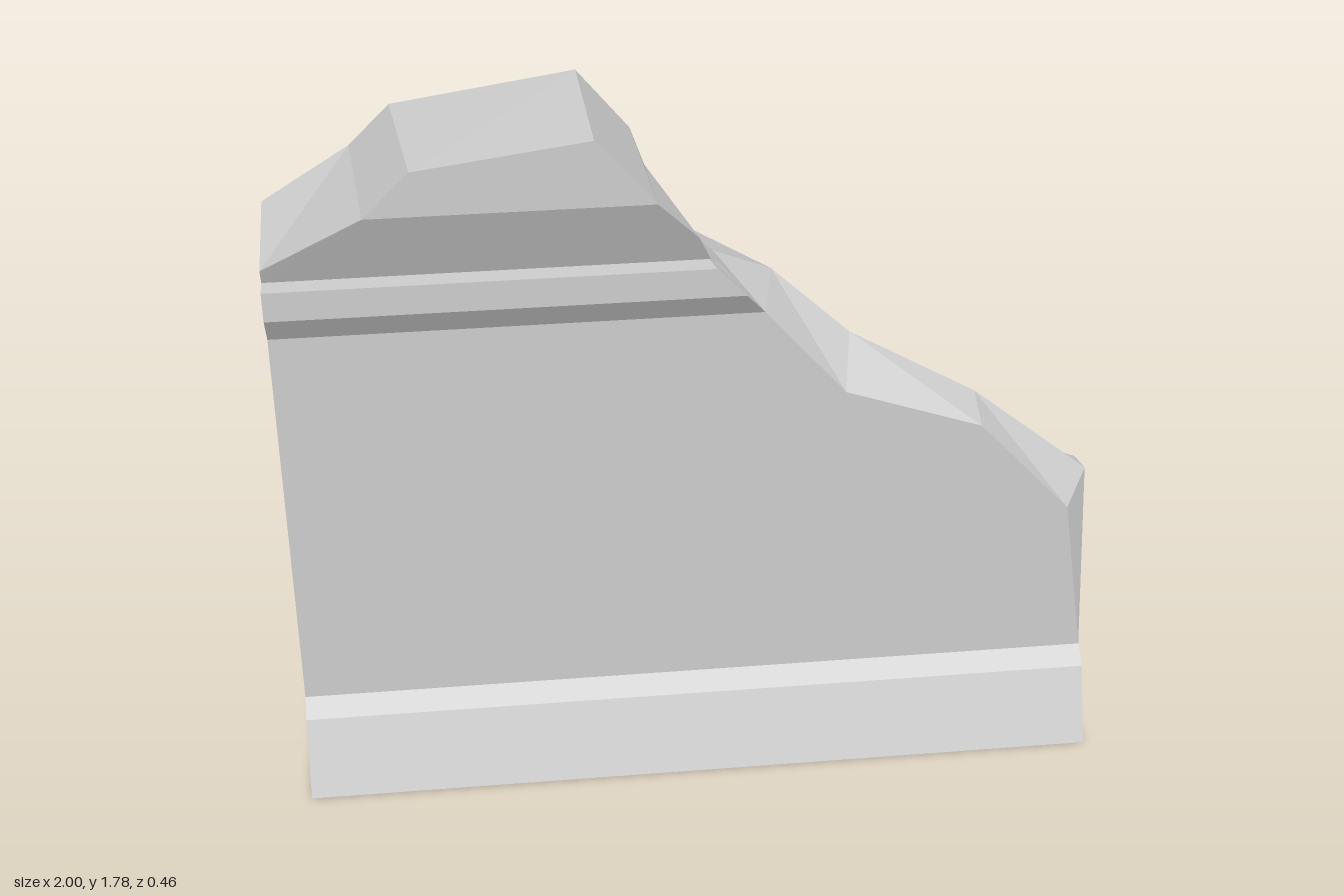
import * as THREE from 'three';

const stone = new THREE.MeshStandardMaterial({ color: 0xcccccc, side: THREE.DoubleSide });
stone.name = 'stone';

const v = (x, y, z) => new THREE.Vector3(x, y, z);

// Faceted mesh from a list of triangles; collapsed triangles are dropped
function faceted(name, triangles) {
  const points = triangles
    .filter((t) => new THREE.Triangle(...t).getArea() > 1e-6)
    .flat();
  const geometry = new THREE.BufferGeometry().setFromPoints(points);
  geometry.computeVertexNormals();
  const mesh = new THREE.Mesh(geometry, stone);
  mesh.name = name;
  return mesh;
}

const quad = (a, b, c, d) => [[a, b, c], [a, c, d]];

function fan(ring) {
  return ring.slice(2).map((p, i) => [ring[0], ring[i + 1], p]);
}

// Skin sections that run from -x to +x, each ordered front bottom, over the top, back bottom
function loft(name, sections, closed = true) {
  const triangles = [];
  const n = sections[0].length;
  for (let s = 0; s < sections.length - 1; s++) {
    const p = sections[s], q = sections[s + 1];
    for (let i = 0; i < (closed ? n : n - 1); i++) {
      const j = (i + 1) % n;
      triangles.push(...quad(p[i], q[i], q[j], p[j]));
    }
  }
  triangles.push(...fan(sections[0]), ...fan([...sections[sections.length - 1]].reverse()));
  return faceted(name, triangles);
}

// Section at constant x from front-side (z, y) pairs, mirrored to the back
function mirrored(x, half) {
  return [
    ...half.map(([z, y]) => v(x, y, z)),
    ...[...half].reverse().map(([z, y]) => v(x, y, -z)),
  ];
}

// Flat side of the wall, with the broken edge as part of its outline
function wallSide(name, z, edge) {
  const outline = [v(-1, 0.225, z), v(1, 0.225, z), ...edge, v(-1, 1.42, z)];
  const faces = THREE.ShapeUtils.triangulateShape(outline.map((p) => new THREE.Vector2(p.x, p.y)), []);
  return faceted(name, faces.map((f) => {
    const t = f.map((i) => outline[i]);
    return z < 0 ? t.reverse() : t;
  }));
}

export function createModel() {
  const group = new THREE.Group();
  group.name = 'ruinedWall';

  // Flared base, open underneath
  const baseHalf = [[0.23, 0], [0.15, 0.19], [0.1, 0.225]];
  group.add(loft('base', [mirrored(-1, baseHalf), mirrored(1, baseHalf)], false));

  // Broken edge: front, ridge and back chains, from the low end upward
  const front = [[0.935, 0.66], [0.7, 0.92], [0.36, 1.04], [0.16, 1.275], [0.05, 1.415]]
    .map(([x, y]) => v(x, y, 0.1));
  const ridge = [[1, 0.71, 0], [0.7, 0.96, 0], [0.38, 1.15, 0], [0.19, 1.32, -0.03], [0.04, 1.42, 0.05]]
    .map((p) => v(...p));
  const back = [[1, 0.68], [0.54, 0.86], [0.31, 1.14], [0.13, 1.28], [-0.02, 1.415]]
    .map(([x, y]) => v(x, y, -0.1));

  group.add(wallSide('wallFront', 0.1, front), wallSide('wallBack', -0.1, back));

  const rim = [];
  for (let i = 0; i < ridge.length - 1; i++) {
    rim.push(...quad(front[i], ridge[i], ridge[i + 1], front[i + 1]));
    rim.push(...quad(ridge[i], back[i], back[i + 1], ridge[i + 1]));
  }
  group.add(faceted('brokenEdge', rim));

  // Wall ends: chipped low end and plain high end
  const lowFront = v(1, 0.225, 0.1), lowBack = v(1, 0.225, -0.1);
  group.add(faceted('chippedEnd', [
    [front[0], lowFront, ridge[0]],
    ...quad(lowFront, lowBack, back[0], ridge[0]),
  ]));
  group.add(faceted('plainEnd', quad(
    v(-1, 0.225, -0.1), v(-1, 0.225, 0.1), v(-1, 1.42, 0.1), v(-1, 1.42, -0.1))));

  // Moulding under the cap, snapped off at an angle
  group.add(loft('moulding', [
    mirrored(-1, [[0.1, 1.275], [0.15, 1.35], [0.15, 1.425]]),
    [
      v(0.16, 1.275, 0.1), v(0.11, 1.35, 0.15), v(0.04, 1.425, 0.15),
      v(-0.04, 1.425, -0.145), v(0.01, 1.35, -0.145), v(0.13, 1.275, -0.1),
    ],
  ]));

  // Undercut cap: each row gives bottom, widest and top points as [x, y, z], front then back
  const capRows = [
    [[-1, 1.425, 0.1], [-1, 1.465, 0.118], [-1, 1.465, 0.118],
      [-1, 1.51, -0.14], [-1, 1.51, -0.14], [-1, 1.425, -0.1]],
    [[-0.76, 1.425, 0.1], [-0.76, 1.62, 0.19], [-0.76, 1.62, 0.19],
      [-0.79, 1.62, -0.19], [-0.79, 1.62, -0.19], [-0.79, 1.425, -0.1]],
    [[-0.65, 1.425, 0.1], [-0.65, 1.62, 0.19], [-0.65, 1.73, 0.19],
      [-0.69, 1.72, -0.19], [-0.69, 1.62, -0.19], [-0.69, 1.425, -0.1]],
    [[-0.24, 1.425, 0.1], [-0.24, 1.62, 0.19], [-0.24, 1.785, 0.19],
      [-0.255, 1.785, -0.19], [-0.255, 1.62, -0.19], [-0.255, 1.425, -0.1]],
    [[-0.1, 1.425, 0.1], [-0.1, 1.62, 0.19], [-0.1, 1.62, 0.19],
      [-0.13, 1.63, -0.19], [-0.13, 1.62, -0.19], [-0.13, 1.425, -0.1]],
    [[0.03, 1.425, 0.1], [0, 1.5, 0.135], [0, 1.5, 0.135],
      [-0.1, 1.55, -0.155], [-0.1, 1.55, -0.155], [-0.07, 1.425, -0.1]],
  ];
  group.add(loft('cap', capRows.map((row) => row.map((p) => v(...p)))));

  return group;
}
